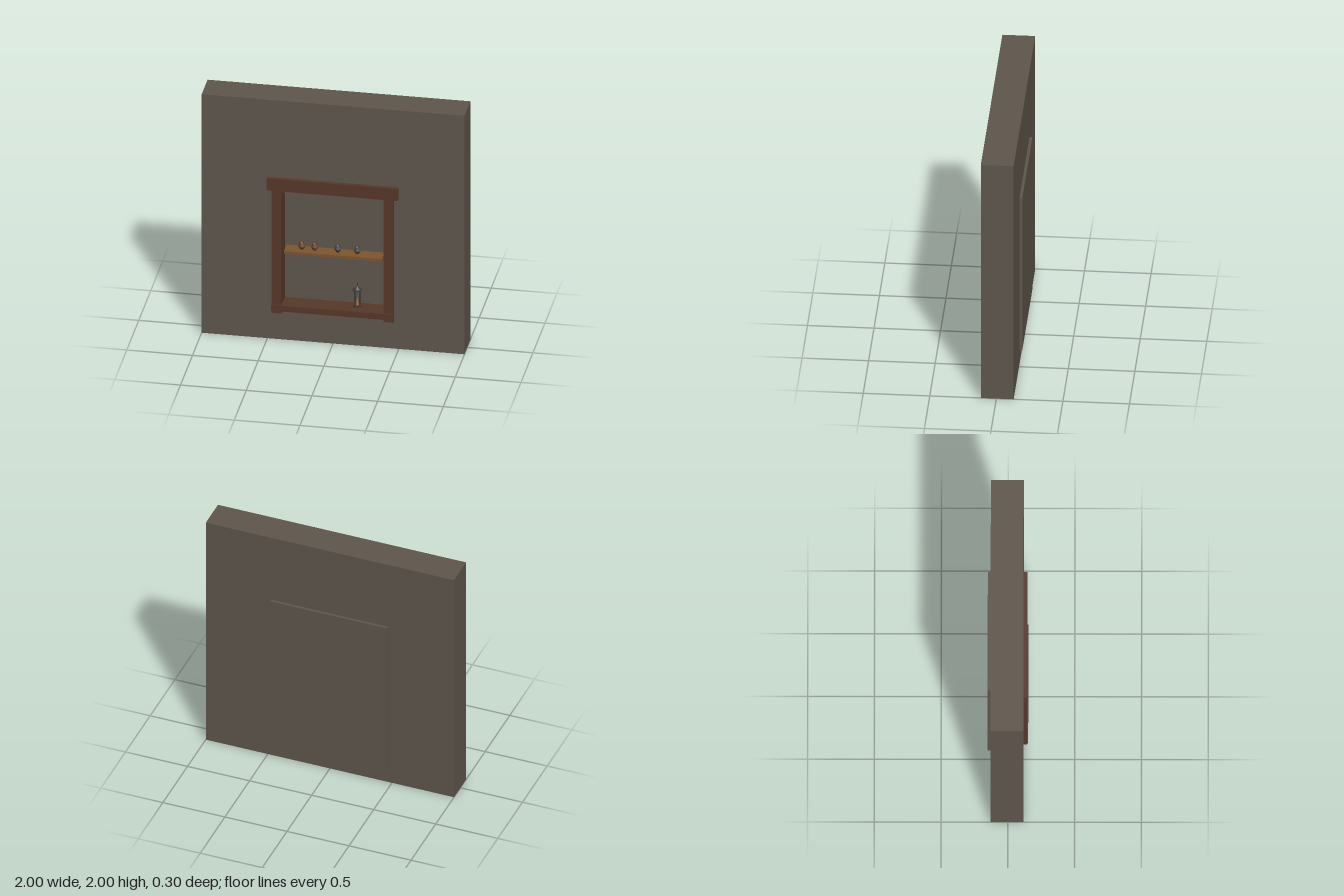
import * as THREE from 'three';

const mat = (name, color, side = THREE.FrontSide) => {
  const m = new THREE.MeshStandardMaterial({ color, side });
  m.name = name;
  return m;
};

export function createModel() {
  const model = new THREE.Group();
  model.name = 'wallNiche';
  const plaster = mat('plaster', 0x5f564c);
  const darkWood = mat('darkWood', 0x573829);
  const shelfWood = mat('shelfWood', 0x7c5530);
  const clay = mat('clay', 0x6e4527, THREE.DoubleSide);
  const pewter = mat('pewter', 0x4c4a48, THREE.DoubleSide);
  const iron = mat('iron', 0x3f3e3d);
  const flameOrange = mat('flameOrange', 0xb5652a);

  const add = (parent, name, geometry, material, x = 0, y = 0, z = 0) => {
    const mesh = new THREE.Mesh(geometry, material);
    mesh.name = name;
    mesh.position.set(x, y, z);
    parent.add(mesh);
    return mesh;
  };
  // box given by its limits on each axis
  const box = (name, material, [x0, x1], [y0, y1], [z0, z1]) =>
    add(model, name, new THREE.BoxGeometry(x1 - x0, y1 - y0, z1 - z0), material,
      (x0 + x1) / 2, (y0 + y1) / 2, (z0 + z1) / 2);

  // wall with a rectangular opening
  const wall = new THREE.Shape([[-1, 0], [1, 0], [1, 2], [-1, 2]].map(p => new THREE.Vector2(...p)));
  wall.holes.push(new THREE.Path([[-0.4, 0.26], [-0.4, 1.235], [0.4, 1.235], [0.4, 0.26]]
    .map(p => new THREE.Vector2(...p))));
  add(model, 'wall', new THREE.ExtrudeGeometry(wall, { depth: 0.247, bevelEnabled: false }),
    plaster, 0, 0, -0.13);

  // back of the recess and the panel behind the wall
  box('nicheBack', plaster, [-0.4, 0.4], [0.26, 1.235], [-0.14, 0]);
  box('backPanel', plaster, [-0.473, 0.473], [0.125, 1.43], [-0.152, -0.13]);

  // wooden frame
  for (const s of [-1, 1]) {
    const span = (a, b) => [Math.min(s * a, s * b), Math.max(s * a, s * b)];
    box('jamb', darkWood, span(0.388, 0.465), [0.228, 1.254], [0.117, 0.142]);
    box('jambLining', darkWood, span(0.388, 0.4), [0.26, 1.235], [0, 0.117]);
  }
  box('header', darkWood, [-0.5, 0.5], [1.254, 1.355], [0.117, 0.147]);
  box('sill', darkWood, [-0.465, 0.465], [0.25, 0.3], [0.117, 0.152]);
  box('nicheFloor', darkWood, [-0.388, 0.388], [0.26, 0.3], [0, 0.117]);
  box('shelf', shelfWood, [-0.375, 0.372], [0.716, 0.738], [0, 0.11]);

  // small pots on the shelf
  const profile = [[0, 0], [0.014, 0], [0.025, 0.018], [0.025, 0.031], [0.015, 0.042],
    [0.018, 0.05], [0.013, 0.05], [0.012, 0.04], [0, 0.036]].map(p => new THREE.Vector2(...p));
  const potGeo = new THREE.LatheGeometry(profile, 10);
  [[-0.25, clay], [-0.152, clay], [0.024, pewter], [0.172, pewter]].forEach(([x, m]) =>
    add(model, 'pot', potGeo, m, x, 0.738, 0.045));

  // lantern standing on the niche floor
  const lantern = new THREE.Group();
  lantern.name = 'lantern';
  lantern.position.set(0.174, 0.3, 0.055);
  model.add(lantern);
  const cyl = (name, r0, r1, y0, y1, material, n = 8, x = 0, z = 0) =>
    add(lantern, name, new THREE.CylinderGeometry(r1, r0, y1 - y0, n), material, x, (y0 + y1) / 2, z);
  cyl('lanternBase', 0.034, 0.034, 0, 0.012, iron, 12);
  for (const x of [-0.019, 0.019]) for (const z of [-0.019, 0.019])
    cyl('lanternPost', 0.004, 0.004, 0.012, 0.134, iron, 6, x, z);
  cyl('lanternEave', 0.036, 0.036, 0.134, 0.142, iron, 12);
  cyl('lanternRoof', 0.026, 0.006, 0.142, 0.168, iron, 12);
  cyl('lanternFinial', 0.004, 0.003, 0.168, 0.195, iron, 6);
  cyl('flame', 0.013, 0.001, 0.012, 0.075, flameOrange);

  return model;
}
